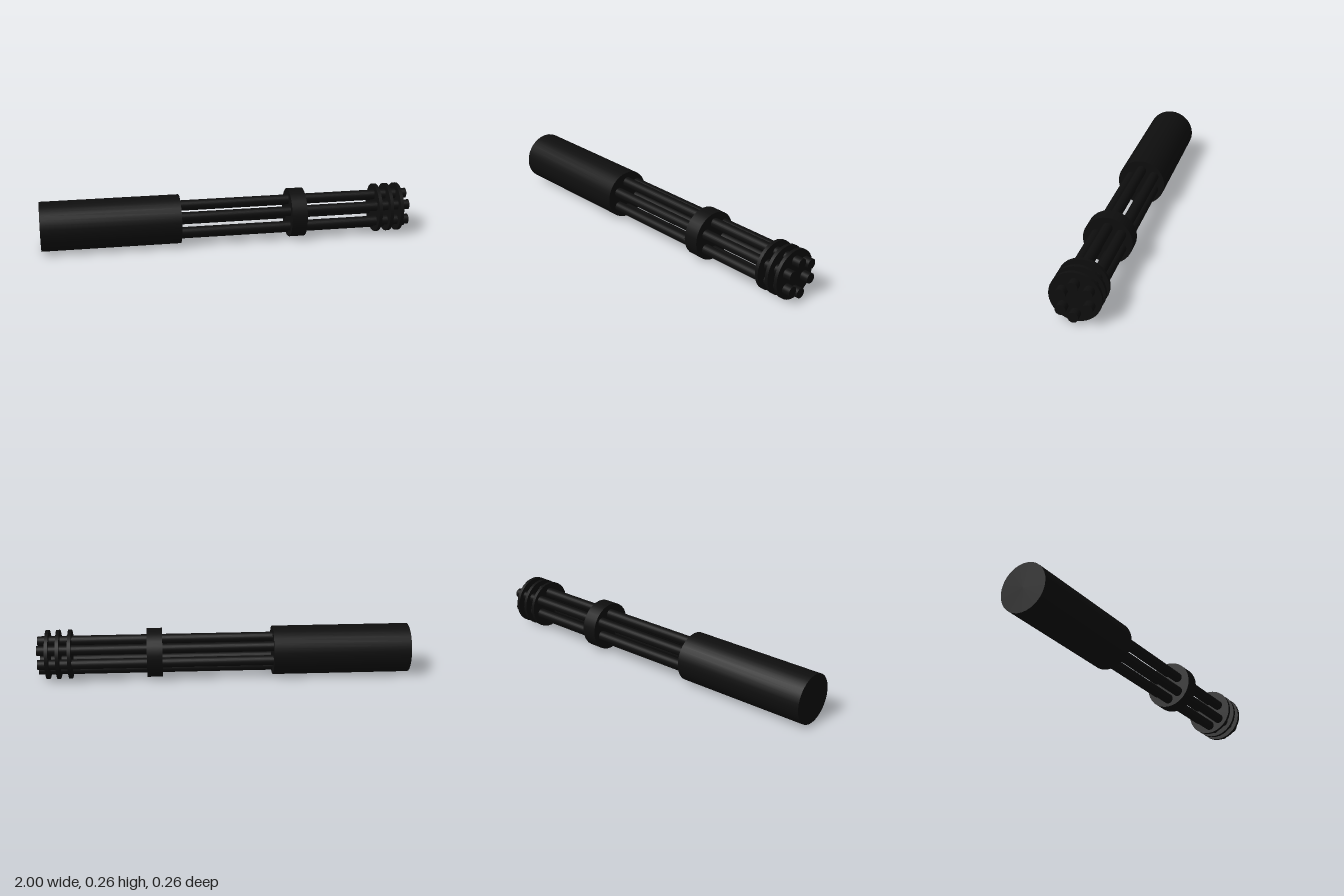
import * as THREE from 'three';

const AXIS_Y = 0.133; // height of the long axis

export function createModel() {
  const model = new THREE.Group();
  const metal = new THREE.MeshStandardMaterial({ color: 0x0e0e0e });

  // Cylinder lying along x, from x0 to x1
  function rod(name, x0, x1, radius, y, z, sides) {
    const geometry = new THREE.CylinderGeometry(radius, radius, x1 - x0, sides);
    geometry.rotateZ(-Math.PI / 2);
    const mesh = new THREE.Mesh(geometry, metal);
    mesh.name = name;
    mesh.position.set((x0 + x1) / 2, y, z);
    model.add(mesh);
  }

  // Housing and the collar half way along the barrels
  rod('housing', -1, -0.26, 0.132, AXIS_Y, 0, 32);
  rod('collar', 0.335, 0.418, 0.132, AXIS_Y, 0, 32);

  // Thin clamp discs near the muzzle
  for (const x of [0.828, 0.891, 0.948]) {
    rod('muzzleDisc', x - 0.009, x + 0.009, 0.132, AXIS_Y, 0, 32);
  }

  // Six barrels as [y, z], slightly uneven around the axis
  const barrels = [
    [0.209, 0], [0.18, -0.071], [0.1, -0.071],
    [0.046, 0], [0.078, 0.061], [0.163, 0.061],
  ];
  for (const [y, z] of barrels) rod('barrel', -0.3, 1, 0.027, y, z, 24);

  return model;
}
